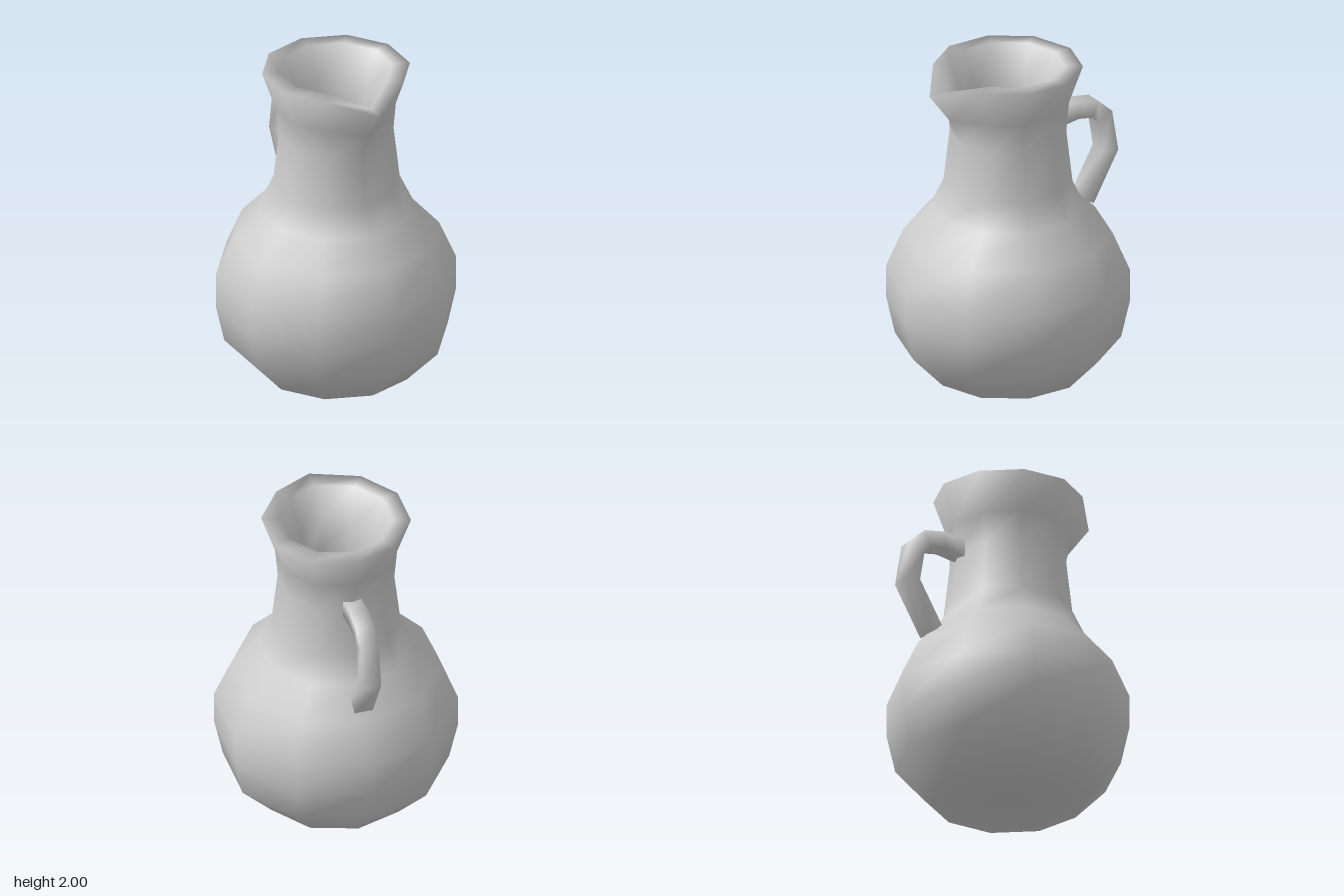
import * as THREE from 'three';
import { mergeVertices } from 'three/addons/utils/BufferGeometryUtils.js';

const material = new THREE.MeshStandardMaterial({ color: 0xcccccc });

// Joins closed cross-sections (arrays of Vector3) into one smooth surface.
function skin(rings, name) {
  const n = rings[0].length;
  const index = [];
  for (let i = 0; i < rings.length - 1; i++) {
    for (let j = 0; j < n; j++) {
      const a = i * n + j, b = i * n + (j + 1) % n;
      index.push(a, b, b + n, a, b + n, a + n);
    }
  }
  let geometry = new THREE.BufferGeometry().setFromPoints(rings.flat());
  geometry.setIndex(index);
  geometry = mergeVertices(geometry);
  geometry.computeVertexNormals();
  const mesh = new THREE.Mesh(geometry, material);
  mesh.name = name;
  return mesh;
}

// Ten-sided ring; the front corner can be pulled out and down for the spout.
function jugRing([radius, y, pull = 0, drop = 0]) {
  return Array.from({ length: 10 }, (_, j) => {
    const a = (j / 10) * Math.PI * 2;
    const front = j === 0 ? 1 : 0;
    return new THREE.Vector3(
      radius * Math.sin(a),
      y - drop * front,
      0.015 + radius * Math.cos(a) + pull * front
    );
  });
}

function createJug() {
  // radius, height, spout pull, spout drop
  const outside = [
    [0, 0], [0.473, 0], [0.683, 0.22], [0.735, 0.455], [0.735, 0.665],
    [0.631, 0.905], [0.468, 1.08], [0.389, 1.245], [0.352, 1.57],
    [0.368, 1.76, 0.05, 0.03], [0.452, 2, 0.115, 0.07],
  ];
  const inside = [
    [0.345, 2, 0.1, 0.07], [0.26, 1.77, 0.07, 0.03], [0.231, 1.57, 0.06],
    [0.28, 1.22], [0.36, 1.03], [0.53, 0.85], [0.63, 0.64], [0.63, 0.47],
    [0.58, 0.27], [0.41, 0.1], [0, 0.1],
  ];
  return skin([...outside, ...inside].map(jugRing), 'jugBody');
}

function createHandle() {
  // Centre line as z, y
  const path = [
    [-0.32, 1.577], [-0.46, 1.6], [-0.58, 1.58],
    [-0.652, 1.515], [-0.69, 1.285], [-0.522, 0.99],
  ].map(([z, y]) => new THREE.Vector3(0, y, z));
  const side = new THREE.Vector3(1, 0, 0);
  const direction = (i) => path[i + 1].clone().sub(path[i]).normalize();
  const last = path.length - 1;

  // Square sections, mitred at each bend
  const rings = path.map((p, i) => {
    const before = i > 0 ? direction(i - 1) : new THREE.Vector3(0, 0, -1);
    const after = i < last ? direction(i) : before;
    const tangent = before.clone().add(after).normalize();
    const across = tangent.clone().cross(side);
    const half = 0.052 / tangent.dot(after);
    return [[1, 1], [-1, 1], [-1, -1], [1, -1]].map(([u, v]) =>
      p.clone().addScaledVector(side, 0.057 * u).addScaledVector(across, half * v));
  });
  const cap = (p) => Array.from({ length: 4 }, () => p.clone());
  return skin([cap(path[0]), ...rings, cap(path[last])], 'handle');
}

export function createModel() {
  const model = new THREE.Group();
  model.name = 'jug';
  model.add(createJug(), createHandle());
  return model;
}
